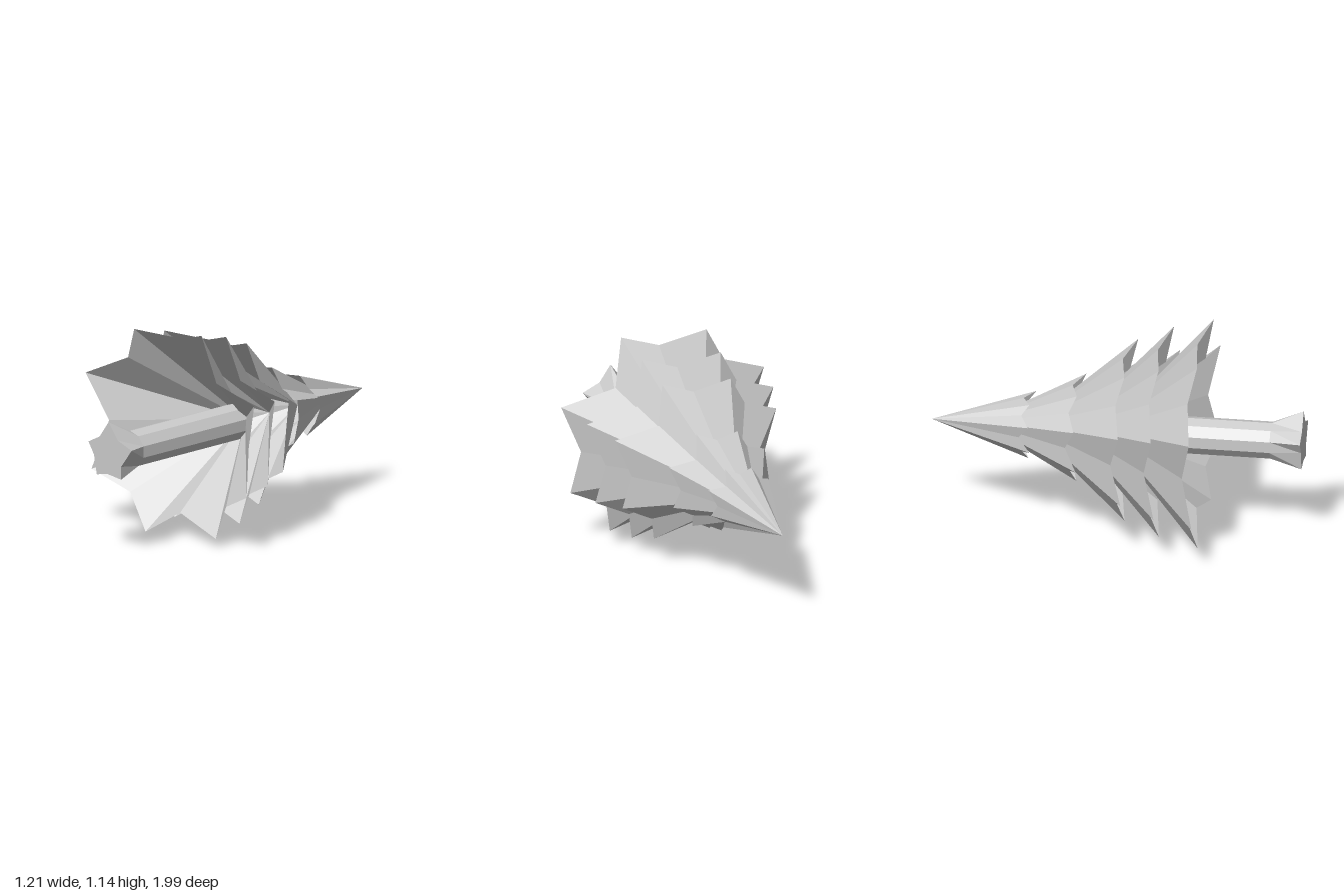
import * as THREE from 'three';

const CX = 0.04, CY = 0.555; // tree axis, running along z with the tip at -z

// Jagged branch rim, clockwise from the top: valley, tip, valley, tip...
// x, y and the offset along z
const RIM = [
  [0.045, 1.085, -0.048], [0.24, 1.145, 0.012], [0.30, 0.885, -0.04], [0.605, 0.82, -0.003],
  [0.515, 0.565, -0.058], [0.55, 0.31, -0.003], [0.36, 0.22, -0.05], [0.32, 0.045, -0.013],
  [0.03, 0.133, -0.05], [-0.185, 0, -0.013], [-0.32, 0.19, -0.04], [-0.555, 0.285, 0.007],
  [-0.485, 0.55, -0.055], [-0.605, 0.80, -0.001], [-0.34, 0.92, -0.045], [-0.26, 1.095, -0.006],
];

// Splayed root outline, clockwise from the top: tip, valley, tip...
const ROOT = [
  [0.04, 0.735], [0.105, 0.645], [0.205, 0.605], [0.13, 0.505], [0.13, 0.435],
  [0.03, 0.45], [-0.045, 0.435], [-0.065, 0.54], [-0.105, 0.605], [-0.025, 0.645],
];

const material = new THREE.MeshStandardMaterial({
  color: 0xcccccc, flatShading: true, side: THREE.DoubleSide,
});

// Skin rings ordered from front to back; a ring of one point closes the end
function loft(name, rings) {
  const pos = [];
  for (let r = 0; r < rings.length - 1; r++) {
    const a = rings[r], b = rings[r + 1];
    const n = Math.max(a.length, b.length);
    for (let i = 0; i < n; i++) {
      const j = (i + 1) % n;
      if (b.length === 1) pos.push(...a[i], ...a[j], ...b[0]);
      else if (a.length === 1) pos.push(...a[0], ...b[j], ...b[i]);
      else pos.push(...a[i], ...a[j], ...b[j], ...a[i], ...b[j], ...b[i]);
    }
  }
  const geometry = new THREE.BufferGeometry();
  geometry.setAttribute('position', new THREE.Float32BufferAttribute(pos, 3));
  geometry.computeVertexNormals();
  const mesh = new THREE.Mesh(geometry, material);
  mesh.name = name;
  return mesh;
}

// One hollow skirt of branches: scaled rim drawn up to a point on the axis
function branchTier(name, scale, tipZ, apexZ) {
  const rim = RIM.map(([x, y, dz]) => [
    CX + (x - CX) * scale, CY + (y - CY) * scale, tipZ + dz,
  ]);
  return loft(name, [rim, [[CX, CY, apexZ]]]);
}

function decagon(radius, z) {
  return ROOT.map((_, i) => {
    const a = Math.PI / 2 - (i / ROOT.length) * Math.PI * 2;
    return [CX + radius * Math.cos(a), CY + radius * Math.sin(a), z];
  });
}

export function createModel() {
  const tree = new THREE.Group();
  tree.name = 'pineTree';

  // Branch tiers from the base to the top: scale, z of the tips, z of the apex
  const tiers = [
    [1, 0.468, -0.08],
    [0.92, 0.258, -0.27],
    [0.795, 0.07, -0.49],
    [0.47, -0.198, -0.74],
    [0.295, -0.46, -1],
  ];
  const branches = new THREE.Group();
  branches.name = 'branches';
  tiers.forEach((t, i) => branches.add(branchTier(`branchTier${i + 1}`, ...t)));
  tree.add(branches);

  // Ten-sided trunk flaring into a star-shaped root with a flat closed end
  const root = ROOT.map(([x, y]) => [x, y, 0.99]);
  tree.add(loft('trunk', [
    [[CX, CY, 0.99]], root, decagon(0.1, 0.82), decagon(0.1, 0),
  ]));

  return tree;
}
